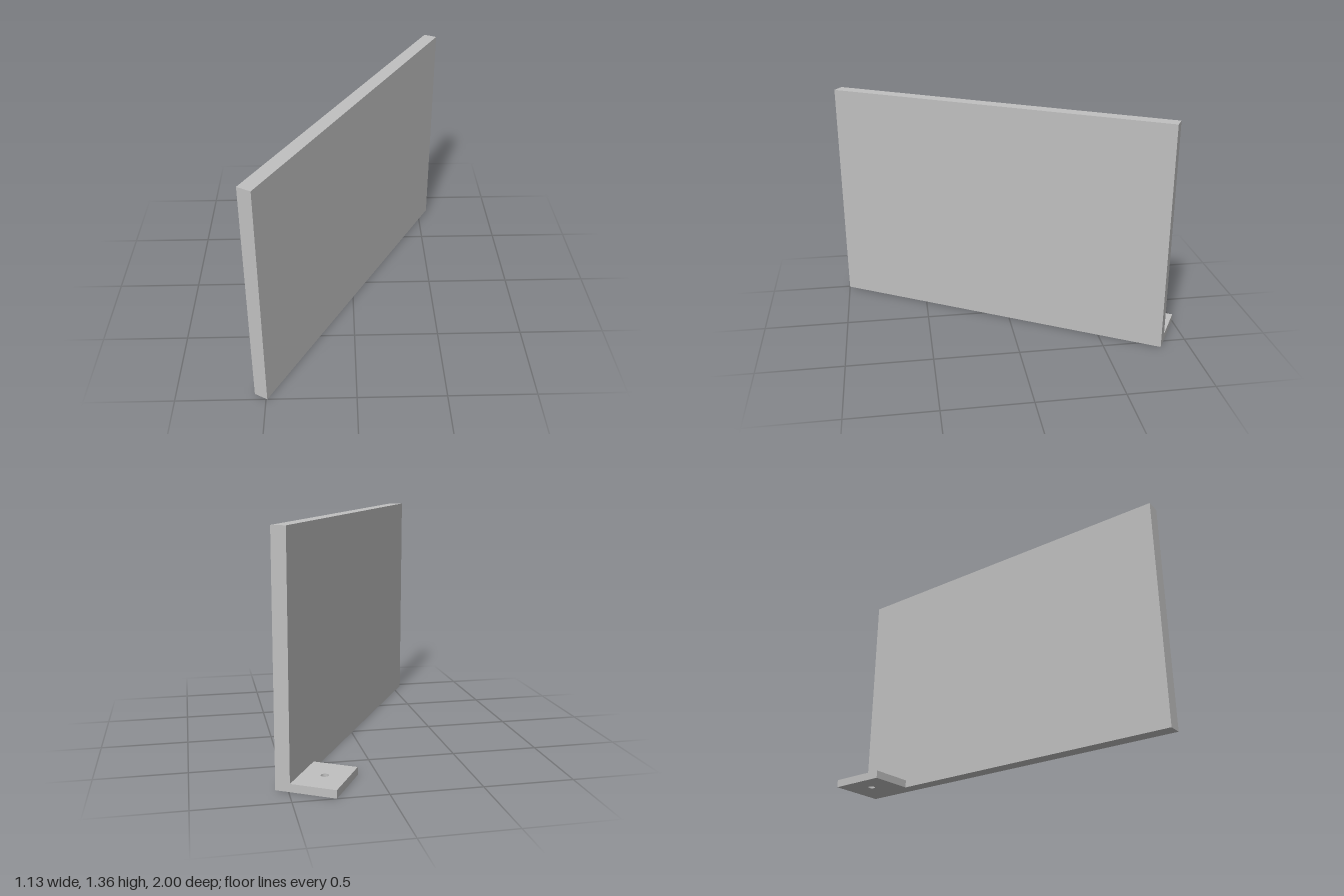
import * as THREE from 'three';

export function createModel() {
  const grey = new THREE.MeshStandardMaterial({ color: 0xc0c0c0 });
  grey.name = 'grey';

  const length = 2.115, height = 1.355, thickness = 0.082;
  const tabLength = 0.334, tabDepth = 0.254, tabHeight = 0.045, holeRadius = 0.022;

  const bracket = new THREE.Group();
  bracket.name = 'bracket';

  // Upright panel, its long side along local x
  const panel = new THREE.Mesh(new THREE.BoxGeometry(length, height, thickness), grey);
  panel.name = 'panel';
  panel.position.set(-0.055, height / 2, 0.032);
  bracket.add(panel);

  // Mounting tab with a round screw hole, flush with the panel's end and base
  const outline = new THREE.Shape();
  outline.moveTo(-tabLength / 2, -tabDepth / 2);
  outline.lineTo(tabLength / 2, -tabDepth / 2);
  outline.lineTo(tabLength / 2, tabDepth / 2);
  outline.lineTo(-tabLength / 2, tabDepth / 2);
  outline.closePath();
  const hole = new THREE.Path();
  hole.absarc(0, 0, holeRadius, 0, Math.PI * 2, true);
  outline.holes.push(hole);
  const tabGeometry = new THREE.ExtrudeGeometry(outline, {
    depth: tabHeight, bevelEnabled: false, curveSegments: 16,
  });
  tabGeometry.rotateX(-Math.PI / 2);
  const tab = new THREE.Mesh(tabGeometry, grey);
  tab.name = 'mountingTab';
  tab.position.set(
    panel.position.x + (length - tabLength) / 2,
    0,
    panel.position.z - (thickness + tabDepth) / 2,
  );
  bracket.add(tab);

  // The whole piece stands at 60 degrees to the front
  bracket.rotation.y = Math.PI / 3;

  const model = new THREE.Group();
  model.name = 'panelWithTab';
  model.add(bracket);
  return model;
}
